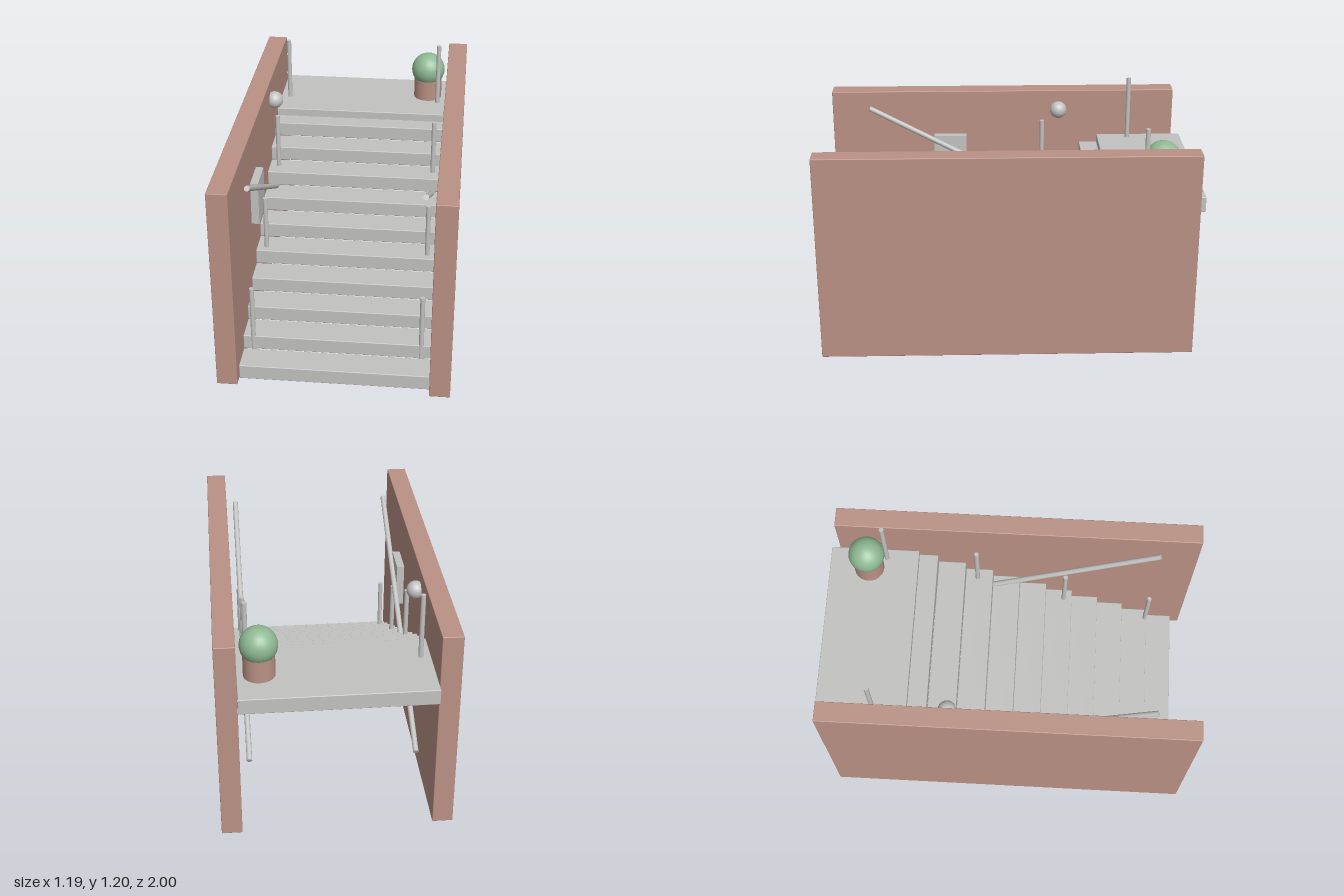
import * as THREE from 'three';
import { RoundedBoxGeometry } from 'three/addons/geometries/RoundedBoxGeometry.js';

export function createModel() {
  const model = new THREE.Group();
  model.name = 'staircase';

  const material = (name, color) => {
    const m = new THREE.MeshStandardMaterial({ color });
    m.name = name;
    return m;
  };
  const stone = material('grey stone', 0xc2c2c0);
  const brick = material('brick', 0xba9185);
  const leaf = material('leaf green', 0x8fb993);

  const add = (name, geometry, mat, x, y, z) => {
    const mesh = new THREE.Mesh(geometry, mat);
    mesh.name = name;
    mesh.position.set(x, y, z);
    model.add(mesh);
    return mesh;
  };
  // Slightly softened box given by its extents
  const slab = (name, mat, [x0, x1], [y0, y1], [z0, z1]) =>
    add(name, new RoundedBoxGeometry(x1 - x0, y1 - y0, z1 - z0, 2, 0.004), mat,
      (x0 + x1) / 2, (y0 + y1) / 2, (z0 + z1) / 2);

  // Ten steps climbing towards the back
  const rise = 0.08, run = 0.1515, stepFront = 0.945;
  for (let i = 0; i < 10; i++) {
    const front = stepFront - i * run;
    slab('step', stone, [-0.488, 0.488], [i * rise, (i + 1) * rise], [front - run, front]);
  }

  // Landing at the top
  slab('landing', stone, [-0.488, 0.488], [0.762, 0.845], [-1, -0.52]);

  // Side walls, handrails and posts
  const railFront = new THREE.Vector3(0, 1.03, 0.785);
  const railBack = new THREE.Vector3(0, 0.25, -0.685);
  const railDirection = railFront.clone().sub(railBack);
  for (const side of [-1, 1]) {
    const label = side > 0 ? 'left' : 'right';
    const wallX = side * 0.542;
    slab(label + 'Wall', brick, [wallX - 0.053, wallX + 0.053], [0, 1.112], [-0.955, 1]);

    const rail = add(label + 'Handrail',
      new THREE.CylinderGeometry(0.0145, 0.0145, railDirection.length(), 16), stone,
      side * 0.436, (railFront.y + railBack.y) / 2, (railFront.z + railBack.z) / 2);
    rail.quaternion.setFromUnitVectors(new THREE.Vector3(0, 1, 0), railDirection.clone().normalize());

    for (let i = 0; i < 4; i++) {
      add(label + 'Post', new THREE.CylinderGeometry(0.0125, 0.0125, 0.4, 16), stone,
        side * 0.436, 0.25 + i * 0.25, 0.785 - i * 0.4925);
    }
  }

  // Panel and round lamp on the right wall
  add('wallPanel', new THREE.BoxGeometry(0.042, 0.24, 0.185), stone, -0.469, 0.735, 0.328);
  add('wallLamp', new THREE.SphereGeometry(0.048, 24, 16), stone, -0.465, 1.004, -0.294);

  // Potted shrub on the landing
  add('plantPot', new THREE.CylinderGeometry(0.08, 0.08, 0.16, 24), brick, 0.375, 0.92, -0.783);
  add('shrub', new THREE.SphereGeometry(0.096, 24, 16), leaf, 0.375, 1.016, -0.783);

  return model;
}
